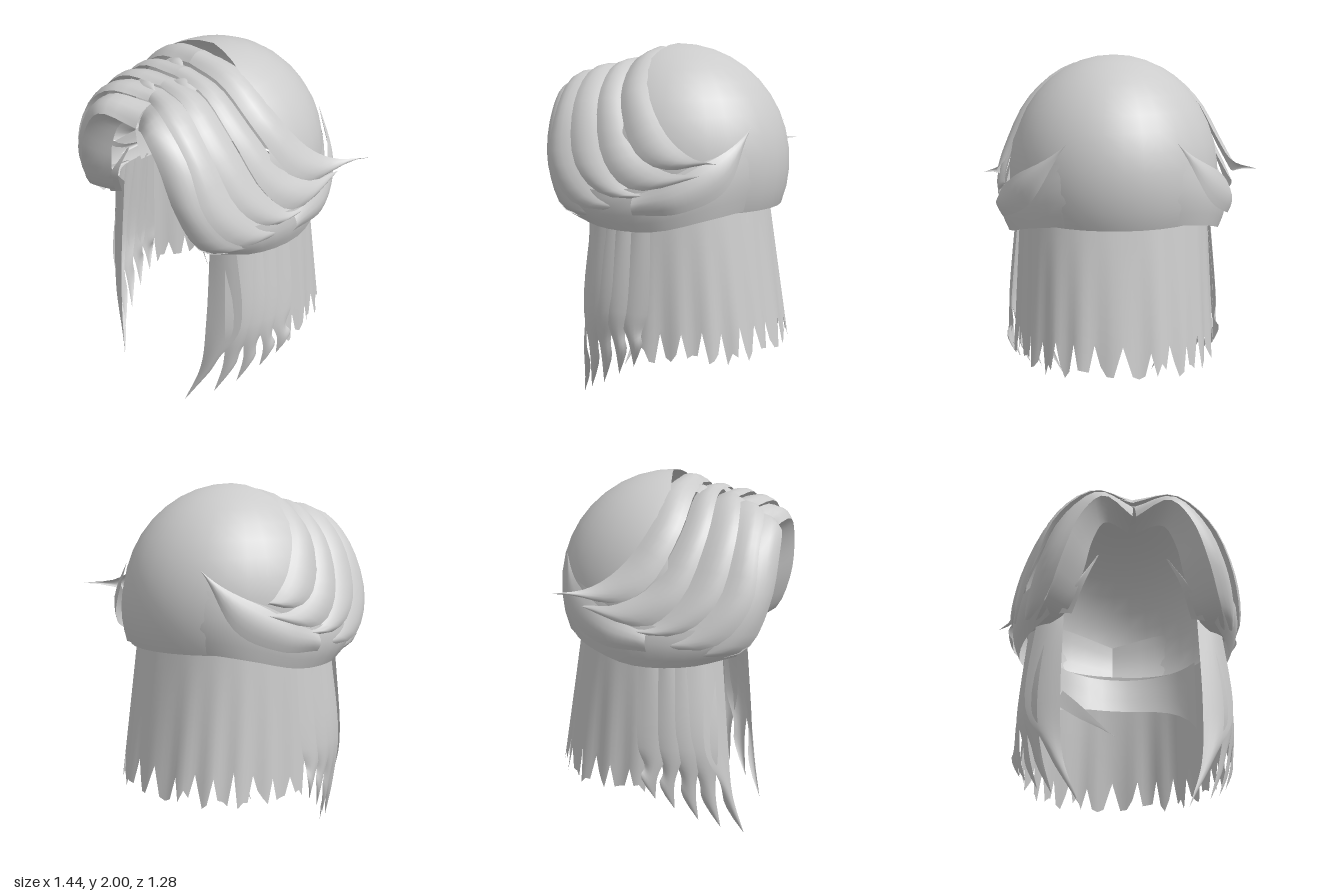
import * as THREE from 'three';

const hair = new THREE.MeshStandardMaterial({ color: 0xcccccc, side: THREE.DoubleSide });

// Small seeded generator for ragged ends
let seed = 7;
const rand = () => (seed = (seed * 16807) % 2147483647) / 2147483647;

// Surface from a rule (u, v) -> Vector3
function sheet(name, nu, nv, rule) {
  const pos = [], idx = [];
  for (let i = 0; i <= nu; i++)
    for (let j = 0; j <= nv; j++) {
      const p = rule(i / nu, j / nv, i);
      pos.push(p.x, p.y, p.z);
      if (i < nu && j < nv) {
        const a = i * (nv + 1) + j, b = a + nv + 1;
        idx.push(a, b, a + 1, b, b + 1, a + 1);
      }
    }
  const g = new THREE.BufferGeometry();
  g.setAttribute('position', new THREE.Float32BufferAttribute(pos, 3));
  g.setIndex(idx);
  g.computeVertexNormals();
  const mesh = new THREE.Mesh(g, hair);
  mesh.name = name;
  return mesh;
}

// Away from the middle of the head; level below the ears
const outward = p => new THREE.Vector3(p.x, Math.max(p.y - 1.35, 0), p.z).normalize();

// Lock of hair spanning two edge curves, bulging outward and narrowing after `taper`
function ribbon(name, edgeA, edgeB, side, { bulge = 0.025, taper = 0.75, tuck = 0, keep = 0.5 } = {}) {
  const curve = pts => new THREE.CatmullRomCurve3(pts.map(([x, y, z]) => new THREE.Vector3(x * side, y, z)));
  const A = curve(edgeA), B = curve(edgeB);
  return sheet(name, 18, 5, (u, v) => {
    const a = A.getPoint(u), b = B.getPoint(u);
    const t = u > taper ? (u - taper) / (1 - taper) : 0;
    const w = 1 - t * t;
    const p = a.lerp(b, keep + (v - keep) * w);
    const lift = (bulge * Math.sin(Math.PI * v) - tuck * (1 - v)) * w;
    return p.addScaledVector(outward(p), lift);
  });
}

// Edges of the swept strands, from the parting outward, down and back
const sweeps = [
  [[0, 1.97, 0.06], [0.25, 1.92, 0.02], [0.45, 1.76, -0.01], [0.56, 1.55, -0.15], [0.62, 1.44, -0.31], [0.72, 1.42, -0.49]],
  [[0, 1.93, 0.17], [0.25, 1.89, 0.17], [0.47, 1.71, 0.14], [0.61, 1.45, 0], [0.64, 1.36, -0.2], [0.6, 1.4, -0.42]],
  [[0, 1.89, 0.27], [0.25, 1.87, 0.29], [0.46, 1.69, 0.28], [0.61, 1.4, 0.18], [0.65, 1.25, 0], [0.62, 1.28, -0.3]],
  [[0, 1.86, 0.37], [0.25, 1.85, 0.42], [0.45, 1.67, 0.43], [0.59, 1.38, 0.36], [0.64, 1.22, 0.18], [0.63, 1.2, -0.12]],
  [[0, 1.8, 0.45], [0.22, 1.81, 0.54], [0.42, 1.64, 0.55], [0.54, 1.36, 0.53], [0.61, 1.15, 0.35], [0.63, 1.12, 0]],
  [[0.01, 1.66, 0.53], [0.18, 1.72, 0.63], [0.3, 1.6, 0.64], [0.4, 1.35, 0.61], [0.48, 1.12, 0.5], [0.58, 1.06, 0.25]],
];
const fringeInner = [[0.02, 1.63, 0.4], [0.16, 1.63, 0.5], [0.23, 1.5, 0.52], [0.28, 1.3, 0.5], [0.36, 1.1, 0.42], [0.5, 1.04, 0.25]];

// Rolled band around the sides to the middle of the back
const bandTop = [[0.5, 1.24, 0.53], [0.61, 1.24, 0.28], [0.62, 1.28, -0.08], [0.5, 1.4, -0.34], [0.3, 1.46, -0.53], [0, 1.4, -0.63]];
const bandLow = [[0.45, 1.07, 0.44], [0.57, 1.03, 0.2], [0.59, 1.03, -0.1], [0.48, 1.09, -0.36], [0.29, 1.12, -0.5], [0, 1.11, -0.57]];

// Hanging side locks: [top front edge, top back edge, tip]
const sideLocks = [
  [[0.37, 1.13, 0.35], [0.51, 1.13, 0.3], [0.28, 0, 0.47]],
  [[0.45, 1.13, 0.32], [0.53, 1.13, 0.2], [0.41, 0.08, 0.36]],
  [[0.5, 1.13, 0.24], [0.54, 1.13, 0.12], [0.48, 0.14, 0.25]],
  [[0.53, 1.13, 0.15], [0.54, 1.13, 0.04], [0.54, 0.22, 0.13]],
  [[0.53, 1.13, 0.07], [0.54, 1.13, -0.06], [0.57, 0.28, 0.03]],
];

export function createModel() {
  const group = new THREE.Group();
  seed = 7;

  // Smooth crown over the back of the head
  const crown = new THREE.Mesh(
    new THREE.SphereGeometry(1, 18, 12, Math.PI - 0.16, Math.PI + 0.32, 0, Math.PI * 0.62), hair);
  crown.scale.set(0.585, 0.645, 0.635);
  crown.position.set(0, 1.35, 0);
  crown.name = 'crown';
  group.add(crown);

  for (const side of [1, -1]) {
    const tag = side > 0 ? 'left' : 'right';

    // Overlapping strands, each tucked under the one behind it
    for (let i = 0; i < 5; i++)
      group.add(ribbon(tag + 'SweptStrand' + (i + 1), sweeps[i], sweeps[i + 1], side,
        { taper: 0.7, tuck: i ? 0.03 : 0, keep: i ? 0.5 : 0 }));
    group.add(ribbon(tag + 'FringeRoll', sweeps[5], fringeInner, side, { bulge: 0.02, taper: 0.8 }));
    group.add(ribbon(tag + 'SideRoll', bandTop, bandLow, side, { taper: 1 }));

    // Pointed tuft rising over the end of the roll
    group.add(ribbon(tag + 'RollTuft',
      [[0.64, 1.22, 0], [0.62, 1.3, -0.2], [0.51, 1.42, -0.38], [0.3, 1.58, -0.52]],
      [[0.64, 1.12, 0], [0.61, 1.14, -0.25], [0.46, 1.26, -0.47], [0.28, 1.55, -0.54]], side, { taper: 0.5 }));

    // Thin flicked end inside the fringe
    group.add(ribbon(tag + 'FringeFlick',
      [[0.19, 1.45, 0.44], [0.26, 1.28, 0.47], [0.33, 1.1, 0.4]],
      [[0.2, 1.43, 0.45], [0.3, 1.26, 0.5], [0.4, 1.08, 0.43]], side, { taper: 1, bulge: 0.01 }));

    // Long pointed locks beside the face
    sideLocks.forEach(([front, back, tip], i) => {
      const mid = (p, dx, dz) => [p[0] + dx, 0.58, p[2] + dz];
      const low = (p, k) => [p[0] * (1 - k) + tip[0] * k + 0.04, 0.58 * (1 - k) + tip[1] * k, p[2] * (1 - k) + tip[2] * k];
      group.add(ribbon(tag + 'SideLock' + (i + 1),
        [front, mid(front, i ? 0.05 : 0.01, 0.04), low(front, 0.55), tip],
        [back, mid(back, 0.05, 0), low(back, 0.4), [tip[0] + 0.07, tip[1] + 0.13, tip[2] - 0.1]],
        side, { taper: 0.8, bulge: 0.015, keep: 0 }));
    });
  }

  // Back curtain with ripples and a ragged hem of blunt flaps
  const cols = 64;
  const hem = Array.from({ length: cols + 1 }, (_, i) => (i % 4 ? 0.29 + rand() * 0.1 : 0.4 + rand() * 0.1));
  group.add(sheet('backCurtain', cols, 8, (u, v, i) => {
    const a = Math.PI * u;
    const y = v < 0.8 ? 1.14 - (v / 0.8) * 0.62 : 0.52 + (hem[i] - 0.52) * (v - 0.8) / 0.2;
    const down = (1.14 - y) / 0.84;
    const ripple = 1 + 0.018 * Math.sin(i * 1.05) * down;
    const bow = Math.pow(Math.abs(Math.cos(a)), 0.8) * Math.sign(Math.cos(a));
    return new THREE.Vector3((0.53 + 0.04 * down) * bow * ripple, y, -(0.5 + 0.12 * down) * Math.sin(a) * ripple);
  }));

  // Short layer inside the nape
  group.add(sheet('innerNape', 14, 3, (u, v) => {
    const a = Math.PI * (0.1 + 0.8 * u);
    const drop = 0.23 + 0.2 * Math.pow(Math.abs(2 * u - 1), 3);
    return new THREE.Vector3(0.46 * Math.cos(a), 1.1 - drop * v, -(0.46 - 0.06 * v) * Math.sin(a));
  }));

  // Loose wisp behind the right lock
  group.add(ribbon('looseWisp',
    [[0.34, 0.86, -0.1], [0.22, 0.74, -0.06], [0.04, 0.55, 0]],
    [[0.36, 0.76, -0.1], [0.22, 0.66, -0.06], [0.04, 0.54, 0]], -1, { taper: 0.3, bulge: 0.01 }));

  // Small tufts along the parting
  for (let k = 0; k < 4; k++) {
    const s = k % 2 ? -1 : 1, z = 0.02 + k * 0.1, y = 1.96 - k * 0.03;
    group.add(ribbon('partingTuft' + (k + 1),
      [[0.16, y - 0.03, z], [0.08, y, z + 0.03], [-0.02, y - 0.03, z + 0.08]],
      [[0.18, y - 0.05, z + 0.08], [0.09, y - 0.03, z + 0.1], [-0.02, y - 0.06, z + 0.1]], s, { taper: 0.3, bulge: 0.01 }));
  }
  return group;
}
